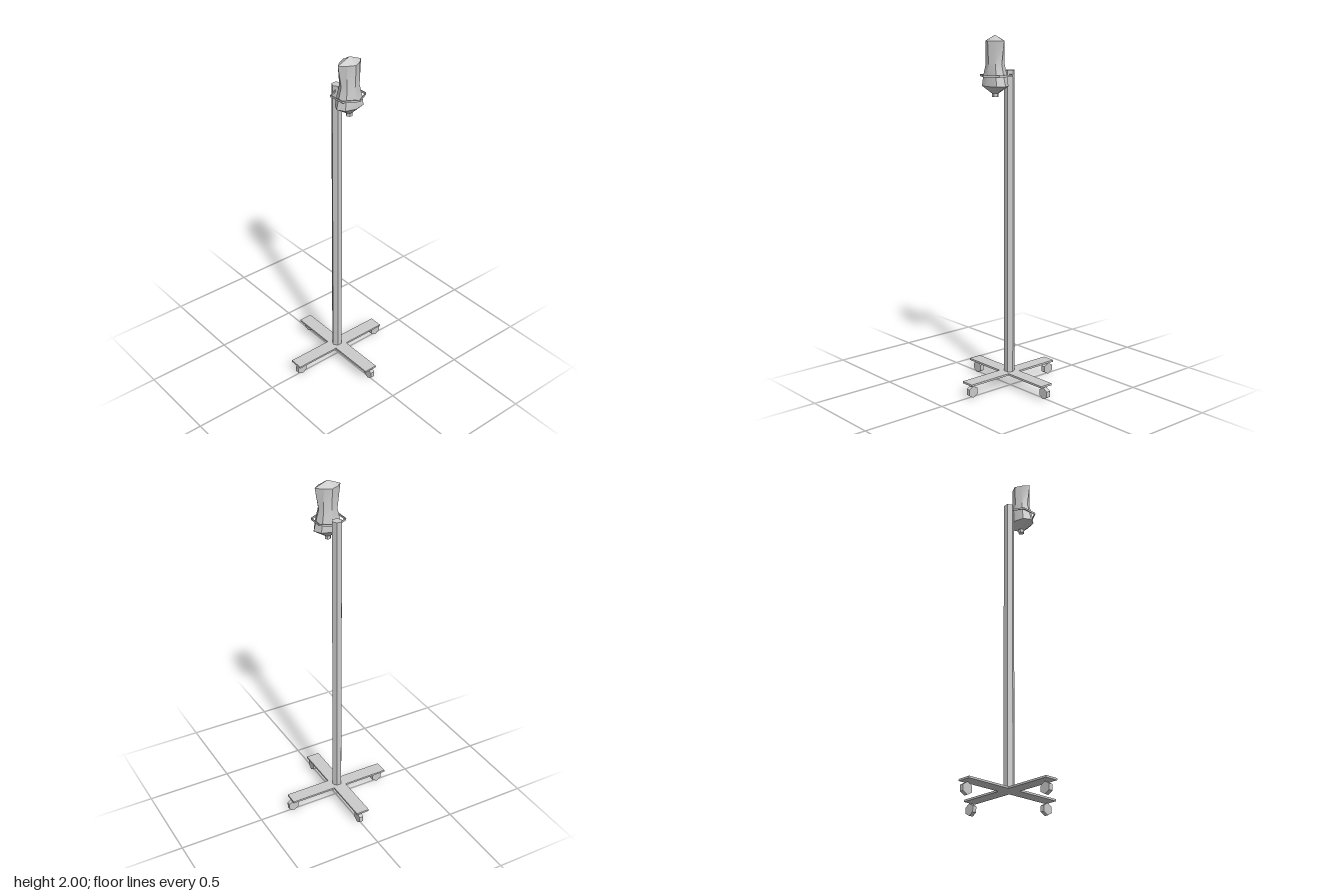
import * as THREE from 'three';
import { toCreasedNormals } from 'three/addons/utils/BufferGeometryUtils.js';

const CX = -0.009; // pole axis
const BZ = 0.101; // bottle axis

// Closed body from eight-sided sections: [y, halfWidth, halfDepth, cornerX, cornerZ], bottom to top
function sectionBody(sections) {
  const pos = [], index = [];
  for (const [y, w, d, cx, cz] of sections) {
    const ring = [[w, 0], [cx, cz], [0, d], [-cx, cz], [-w, 0], [-cx, -cz], [0, -d], [cx, -cz]];
    for (const [x, z] of ring) pos.push(x, y, z);
  }
  const last = sections.length - 1;
  for (let i = 0; i < last; i++) {
    for (let j = 0; j < 8; j++) {
      const a = i * 8 + j, c = i * 8 + (j + 1) % 8, b = a + 8, d = c + 8;
      index.push(a, b, c);
      if (i < last - 1) index.push(b, d, c);
    }
  }
  const geo = new THREE.BufferGeometry();
  geo.setAttribute('position', new THREE.Float32BufferAttribute(pos, 3));
  geo.setIndex(index);
  return toCreasedNormals(geo, 0.6);
}

export function createModel() {
  const group = new THREE.Group();
  const flat = new THREE.MeshStandardMaterial({ color: 0xcccccc, flatShading: true });
  const smooth = new THREE.MeshStandardMaterial({ color: 0xcccccc });
  const add = (name, geo, x, y, z, material = flat) => {
    const mesh = new THREE.Mesh(geo, material);
    mesh.name = name;
    mesh.position.set(x, y, z);
    group.add(mesh);
    return mesh;
  };

  // Flat cross-shaped base
  const a = 0.0395, l = 0.3125;
  const cross = new THREE.Shape([
    [a, a], [a, l], [-a, l], [-a, a], [-l, a], [-l, -a],
    [-a, -a], [-a, -l], [a, -l], [a, -a], [l, -a], [l, a],
  ].map(([x, y]) => new THREE.Vector2(x, y)));
  const base = new THREE.ExtrudeGeometry(cross, { depth: 0.011, bevelEnabled: false });
  base.rotateX(-Math.PI / 2);
  add('crossBase', base, CX, 0.074, 0);

  // Hexagonal caster wheels, one under each arm, rolling along it
  const wheel = new THREE.CylinderGeometry(0.034, 0.034, 0.025, 6);
  wheel.rotateX(Math.PI / 2);
  for (let i = 0; i < 4; i++) {
    const t = i * Math.PI / 2;
    add('casterWheel', wheel, 0.003 + 0.287 * Math.cos(t), 0.034, -0.287 * Math.sin(t)).rotation.y = t;
  }

  // Hexagonal pole with a corner on each side
  const pole = new THREE.CylinderGeometry(0.03, 0.03, 1.727, 6);
  pole.rotateY(Math.PI / 2);
  add('pole', pole, CX, 0.9465, 0);

  // Thin hexagonal holder ring, joined to the pole at its back corner
  const hexagon = (r) => Array.from({ length: 6 }, (_, i) => {
    const t = (i + 0.5) * Math.PI / 3;
    return new THREE.Vector2(r * Math.cos(t), r * Math.sin(t));
  });
  const ringShape = new THREE.Shape(hexagon(0.0935));
  ringShape.holes.push(new THREE.Path(hexagon(0.0885)));
  const ring = new THREE.ExtrudeGeometry(ringShape, { depth: 0.011, bevelEnabled: false });
  ring.rotateX(-Math.PI / 2);
  add('holderRing', ring, CX, 1.778, 0.0925);

  // Hanging bottle: tapered bottom, flared base, narrow waist, pointed lid
  add('bottle', sectionBody([
    [1.688, 0, 0, 0, 0],
    [1.688, 0.02, 0.018, 0.014, 0.013],
    [1.727, 0.085, 0.058, 0.061, 0.042],
    [1.78, 0.071, 0.055, 0.053, 0.04],
    [1.845, 0.054, 0.046, 0.041, 0.032],
    [1.968, 0.076, 0.052, 0.042, 0.031],
    [2.0, 0, 0, 0, 0],
  ]), CX, 0, BZ, smooth);

  // Outlet below the bottle
  const neck = new THREE.CylinderGeometry(0.018, 0.018, 0.03, 6);
  neck.rotateY(Math.PI / 2);
  add('bottleOutlet', neck, CX, 1.684, BZ);

  return group;
}
